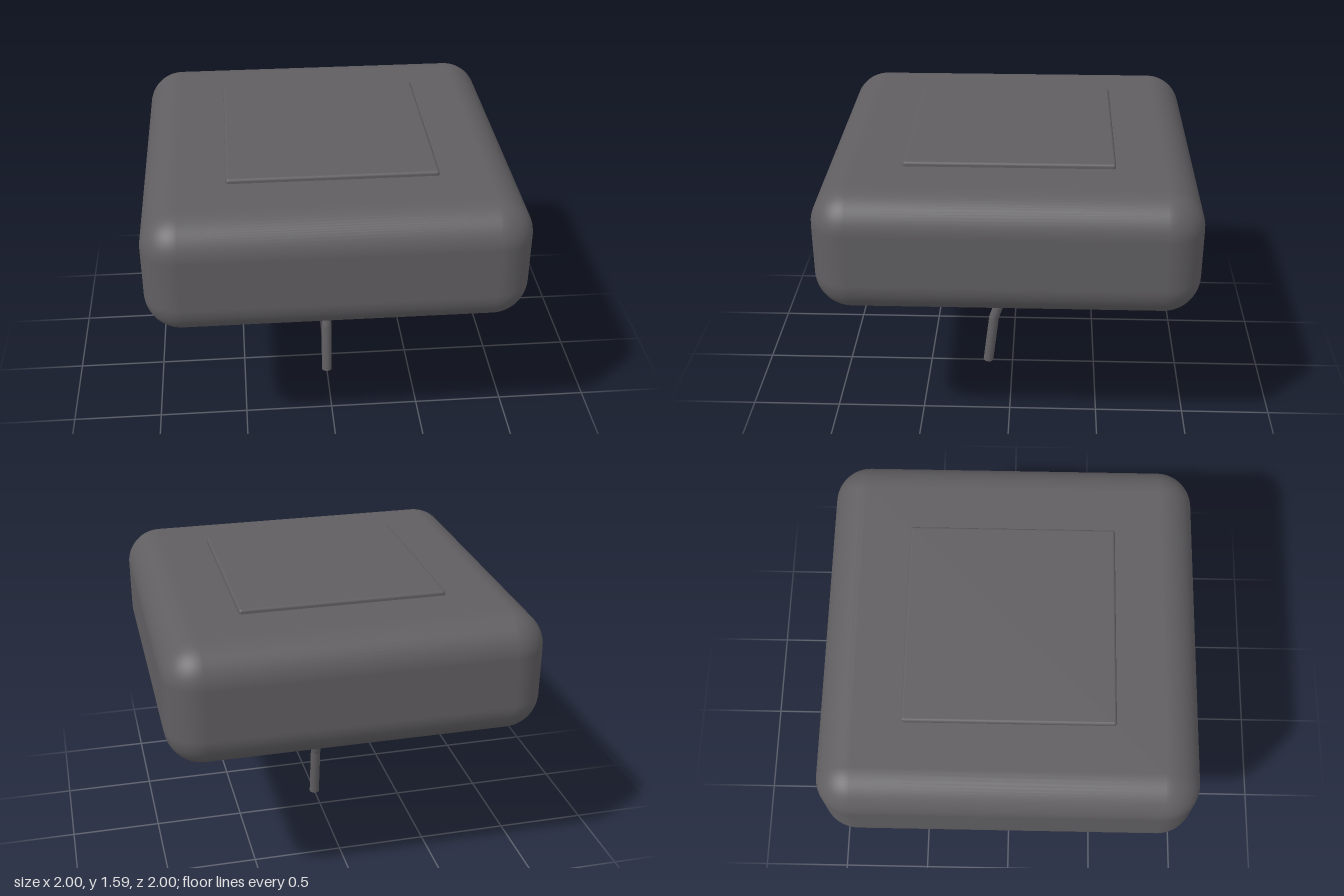
import * as THREE from 'three';
import { RoundedBoxGeometry } from 'three/addons/geometries/RoundedBoxGeometry.js';

export function createModel() {
  const model = new THREE.Group();
  model.name = 'cushionedBlockOnStem';
  const grey = new THREE.MeshStandardMaterial({ color: 0x605e61, side: THREE.DoubleSide });
  grey.name = 'dark grey';

  const add = (name, geometry, x = 0, y = 0, z = 0) => {
    const mesh = new THREE.Mesh(geometry, grey);
    mesh.name = name;
    mesh.position.set(x, y, z);
    model.add(mesh);
    return mesh;
  };

  // Rounded body and the thin raised panel on top
  add('body', new RoundedBoxGeometry(2, 0.665, 2, 8, 0.195), 0, 1.23, 0);
  add('topPanel', new RoundedBoxGeometry(1.11, 0.05, 1.11, 3, 0.015), 0, 1.562, 0);

  // Round hub below the body
  add('hub', new THREE.CylinderGeometry(0.165, 0.165, 0.08, 32), 0, 0.867, 0);

  // Flat bracket plates: side post, tapering crossbar and narrow sliver
  const depth = 0.025;
  const plate = (name, draw) => {
    const shape = new THREE.Shape();
    draw(shape);
    add(name, new THREE.ExtrudeGeometry(shape, { depth, bevelEnabled: false, curveSegments: 6 }), 0, 0, -depth / 2);
  };
  plate('bracketPost', (s) => {
    s.moveTo(-0.335, 0.9);
    s.lineTo(-0.405, 0.9);
    s.lineTo(-0.405, 0.7);
    s.quadraticCurveTo(-0.405, 0.64, -0.335, 0.64);
  });
  plate('bracketCrossbar', (s) => {
    s.moveTo(-0.335, 0.64);
    s.lineTo(0.34, 0.64);
    s.quadraticCurveTo(0.405, 0.64, 0.405, 0.71);
  });
  plate('bracketSliver', (s) => {
    s.moveTo(0.405, 0.71);
    s.lineTo(0.405, 0.9);
    s.lineTo(0.396, 0.9);
  });

  // Thin inner walls of the bracket
  for (const side of [-1, 1]) {
    const wall = add('bracketInnerWall', new THREE.PlaneGeometry(depth, 0.16), side * 0.2, 0.82, 0);
    wall.rotation.y = Math.PI / 2;
  }

  // Bent stem: two rods meeting at a rounded joint
  const radius = 0.03;
  const rod = (name, from, to) => {
    const span = to.clone().sub(from);
    const mesh = add(name, new THREE.CylinderGeometry(radius, radius, span.length(), 12));
    mesh.position.copy(from).addScaledVector(span, 0.5);
    mesh.quaternion.setFromUnitVectors(new THREE.Vector3(0, 1, 0), span.normalize());
  };
  const foot = new THREE.Vector3(0, 0.004, 0.15);
  const bend = new THREE.Vector3(0, 0.31, 0.113);
  const top = new THREE.Vector3(0, 0.64, 0.003);
  rod('lowerStem', foot, bend);
  rod('upperStem', bend, top);
  add('stemJoint', new THREE.SphereGeometry(radius, 12, 8), bend.x, bend.y, bend.z);

  return model;
}
